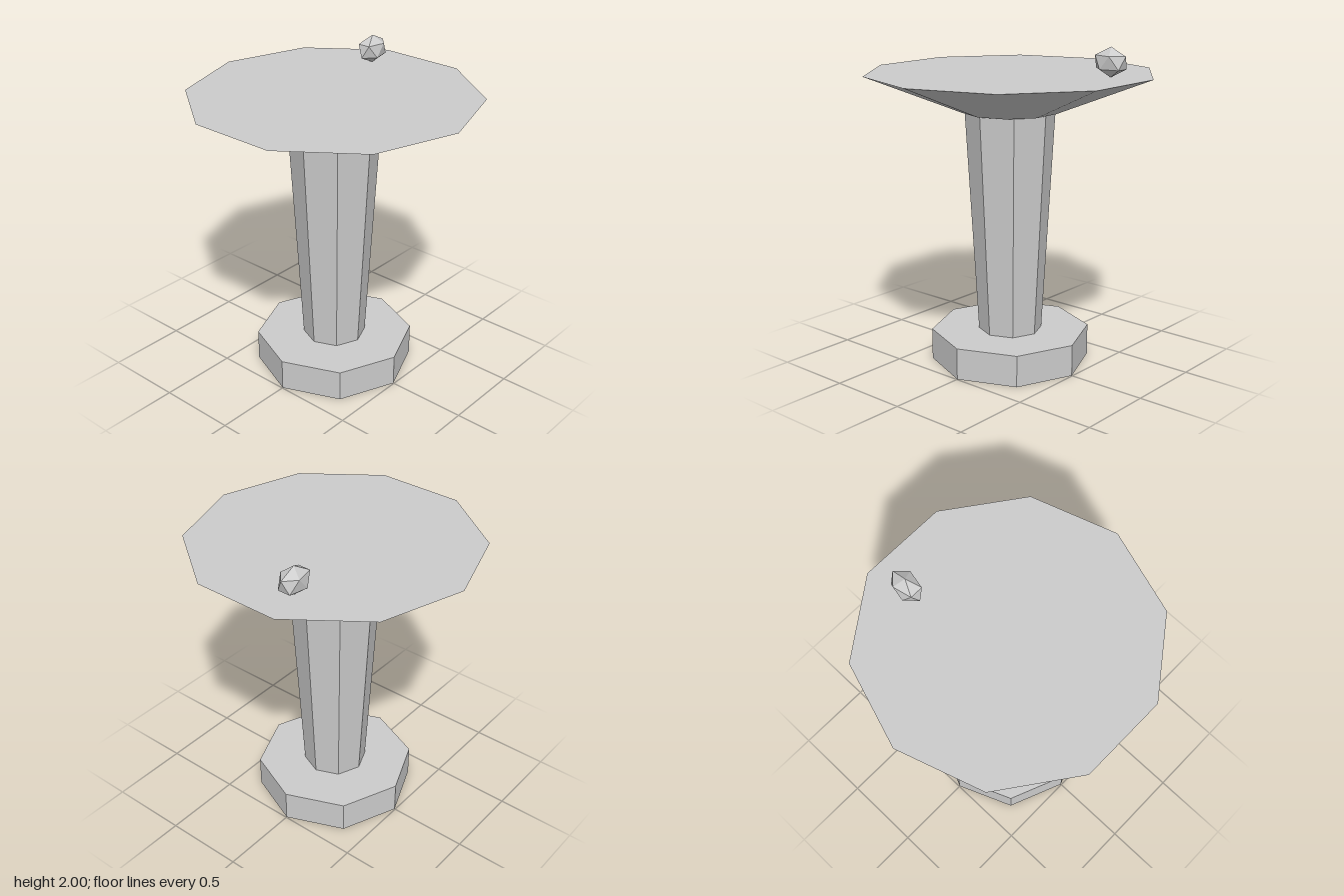
import * as THREE from 'three';

export function createModel() {
  const group = new THREE.Group();
  const stone = new THREE.MeshStandardMaterial({ color: 0xcccccc });
  stone.name = 'pale stone';

  const add = (name, geometry, y) => {
    // split vertices so every facet stays flat
    const flat = geometry.toNonIndexed();
    flat.computeVertexNormals();
    const mesh = new THREE.Mesh(flat, stone);
    mesh.name = name;
    mesh.position.y = y;
    group.add(mesh);
    return mesh;
  };

  // faceted tapered drum standing between two heights
  const drum = (name, topRadius, bottomRadius, y0, y1, sides) =>
    add(name, new THREE.CylinderGeometry(topRadius, bottomRadius, y1 - y0, sides), (y0 + y1) / 2);

  drum('base', 0.496, 0.496, 0, 0.198, 8);
  drum('column', 0.277, 0.198, 0.198, 1.6, 8);
  drum('basin', 0.885, 0.297, 1.587, 1.823, 10);

  // faceted pebble on the rim, one corner pointing up
  const pebble = new THREE.IcosahedronGeometry(1, 0);
  pebble.rotateZ(-Math.atan(2 / (1 + Math.sqrt(5))));
  pebble.scale(0.116, 0.0885, 0.078);
  pebble.computeVertexNormals();
  const stoneMesh = new THREE.Mesh(pebble, stone);
  stoneMesh.name = 'pebble';
  stoneMesh.position.set(0.593, 1.9115, -0.2);
  group.add(stoneMesh);

  return group;
}
